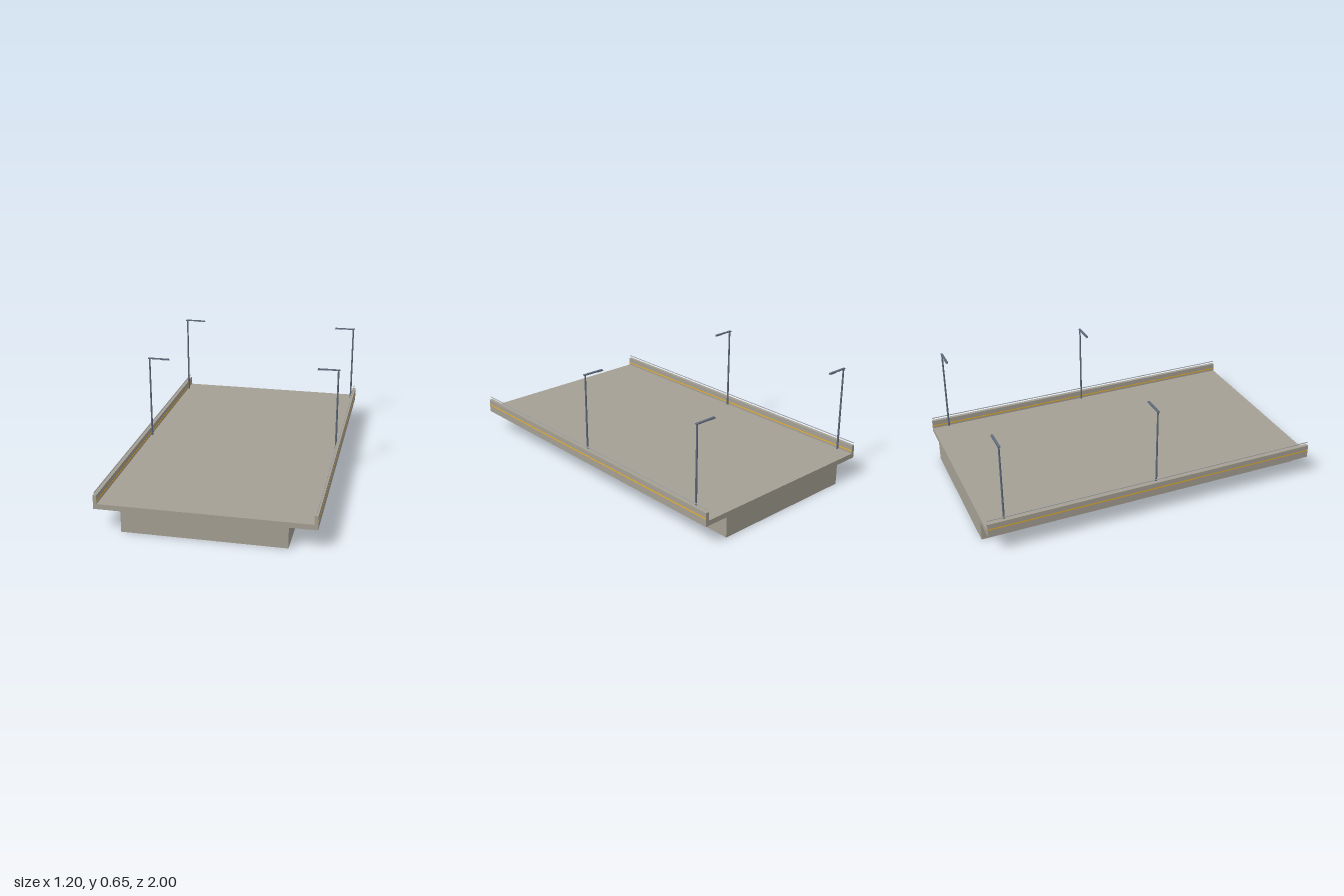
import * as THREE from 'three';

export function createModel() {
  const mat = (name, color) => {
    const m = new THREE.MeshStandardMaterial({ color });
    m.name = name;
    return m;
  };
  const concrete = mat('concrete', 0xa5a094);
  const steel = mat('blue steel', 0x606a7c);
  const yellow = mat('yellow paint', 0xe6af2e);
  const grey = mat('light grey', 0xa0a2a4);

  const model = new THREE.Group();
  model.name = 'bridgeSection';
  const add = (parent, name, geometry, material, x, y, z) => {
    const mesh = new THREE.Mesh(geometry, material);
    mesh.name = name;
    mesh.position.set(x, y, z);
    parent.add(mesh);
    return mesh;
  };

  // Girder, deck and side parapets share one cross-section
  const half = [[0.45, 0], [0.45, 0.12], [0.6, 0.12], [0.6, 0.2], [0.58, 0.2], [0.58, 0.15]];
  const outline = [...half, ...half.map(([x, y]) => [-x, y]).reverse()];
  const shape = new THREE.Shape(outline.map(([x, y]) => new THREE.Vector2(x, y)));
  const deck = new THREE.ExtrudeGeometry(shape, { depth: 2, bevelEnabled: false });
  add(model, 'deck', deck, concrete, 0, 0, -1);

  for (const side of [-1, 1]) {
    // Painted line on both faces of the parapet, and the thin rail above it
    for (const x of [0.5798, 0.6002]) {
      add(model, 'parapetStripe', new THREE.BoxGeometry(0.0004, 0.008, 2), yellow, side * x, 0.166, 0);
    }
    add(model, 'handRail', new THREE.BoxGeometry(0.004, 0.004, 2), grey, side * 0.59, 0.217, 0);

    // Street lamps reaching their arms over the deck
    for (const z of [-0.9, 0]) {
      const lamp = new THREE.Group();
      lamp.name = 'streetLamp';
      lamp.position.set(side * 0.575, 0.15, z);
      model.add(lamp);
      add(lamp, 'lampPole', new THREE.CylinderGeometry(0.005, 0.006, 0.5, 8), steel, 0, 0.25, 0);
      add(lamp, 'lampArm', new THREE.BoxGeometry(0.13, 0.006, 0.014), steel, -side * 0.056, 0.5, 0);
      add(lamp, 'lampLens', new THREE.BoxGeometry(0.045, 0.003, 0.012), grey, -side * 0.1025, 0.4955, 0);
    }
  }
  return model;
}
